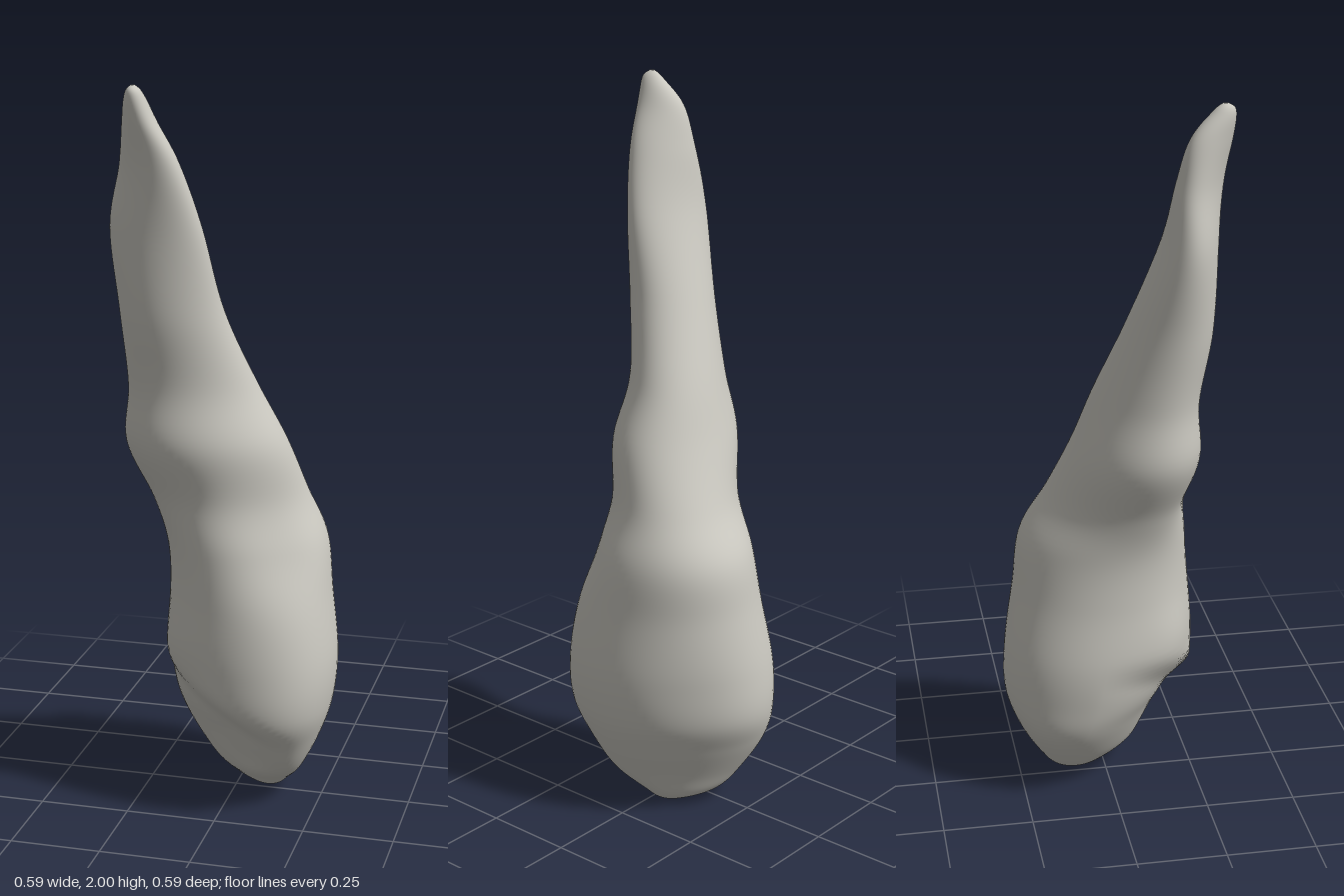
import * as THREE from 'three';

// Cross-sections: y, xMin, xMax, zMin, zMax, skew, front-left lobe
const SECTIONS = [
  [0.000, 0.07, 0.09, -0.05, -0.03, 0.2, 0],
  [0.010, 0.03, 0.125, -0.09, 0.00, 0.3, 0],
  [0.04, -0.04, 0.155, -0.155, 0.04, 0.4, 0],
  [0.10, -0.10, 0.20, -0.20, 0.13, 0.4, 0],
  [0.20, -0.165, 0.25, -0.258, 0.205, 0.3, 0],
  [0.30, -0.19, 0.28, -0.293, 0.25, 0.17, 0.01],
  [0.43, -0.20, 0.29, -0.29, 0.255, 0.12, 0.012],
  [0.60, -0.185, 0.27, -0.262, 0.24, 0.04, 0.012],
  [0.75, -0.185, 0.25, -0.238, 0.225, -0.08, 0.008],
  [0.88, -0.215, 0.20, -0.165, 0.215, -0.2, 0],
  [1.04, -0.278, 0.15, -0.10, 0.238, -0.17, 0],
  [1.20, -0.265, 0.07, -0.045, 0.225, -0.22, 0],
  [1.40, -0.275, 0.00, 0.03, 0.255, -0.1, 0],
  [1.63, -0.295, -0.04, 0.11, 0.265, 0.15, 0],
  [1.80, -0.265, -0.09, 0.145, 0.28, 0.35, 0],
  [1.91, -0.245, -0.145, 0.175, 0.293, 0.35, 0],
  [1.98, -0.222, -0.175, 0.235, 0.295, 0.1, 0],
  [2.00, -0.205, -0.195, 0.26, 0.275, 0, 0],
];

// Soft hollows and swellings: x, y, z, radius, push along x, push along z
const DENTS = [
  [0.17, 0.74, 0.17, 0.12, -0.01, -0.02],
  [-0.12, 0.90, 0.20, 0.11, 0.005, -0.012],
  [-0.17, 0.48, 0.17, 0.12, -0.008, 0.02],
  [-0.28, 1.76, 0.26, 0.11, 0.004, -0.008],
  [0.20, 0.35, -0.22, 0.15, -0.008, 0.008],
  [0.08, 0.14, 0.13, 0.06, 0, -0.012],
];

// Smooth interpolation through the section table
function sectionAt(u) {
  const last = SECTIONS.length - 1;
  const i = Math.min(Math.floor(u), last - 1), f = u - i;
  const row = k => SECTIONS[Math.max(0, Math.min(last, k))];
  const [p, q, r, s] = [row(i - 1), row(i), row(i + 1), row(i + 2)];
  return q.map((b, k) => {
    const m0 = (r[k] - p[k]) / 2, m1 = (s[k] - b) / 2, d = r[k] - b;
    return b + f * (m0 + f * (3 * d - 2 * m0 - m1 + f * (m0 + m1 - 2 * d)));
  });
}

function surfacePoint(u, t) {
  const [y, x0, x1, z0, z1, skew, lobe] = sectionAt(u);
  let x = (x0 + x1) / 2 + (x1 - x0) / 2 * Math.cos(t);
  let z = (z0 + z1) / 2 + (z1 - z0) / 2 * Math.sin(t + Math.asin(skew));
  const w = lobe * Math.max(0, Math.cos(t - Math.PI / 4)) ** 4;
  x += w;
  z += w;
  // slanting fold across the lower front, fading toward the left side
  const line = 0.43 - 0.5 * (x + 0.2);
  const below = THREE.MathUtils.smoothstep(line - y, -0.03, 0.07);
  const fade = THREE.MathUtils.smoothstep(y, 0.02, 0.25);
  const side = 1 - 0.8 * THREE.MathUtils.smoothstep(x, 0, 0.22);
  const fold = 0.05 * below * fade * side * Math.max(0, Math.sin(t));
  z -= fold;
  x += 0.3 * fold;
  for (const [dx, dy, dz, r, px, pz] of DENTS) {
    const g = Math.exp(-((x - dx) ** 2 + (y - dy) ** 2 + (z - dz) ** 2) / (r * r));
    x += px * g;
    z += pz * g;
  }
  return [x, y, z];
}

function loft(rows, cols) {
  const pos = [], index = [];
  for (let i = 0; i <= rows; i++) {
    const u = i / rows * (SECTIONS.length - 1);
    for (let j = 0; j < cols; j++) pos.push(...surfacePoint(u, j / cols * Math.PI * 2));
  }
  for (let i = 0; i < rows; i++) {
    for (let j = 0; j < cols; j++) {
      const a = i * cols + j, b = i * cols + (j + 1) % cols;
      index.push(a, a + cols, b, a + cols, b + cols, b);
    }
  }
  // closing fans at the base and the tip
  const base = pos.length / 3, tip = base + 1, top = rows * cols;
  pos.push(0.08, 0, -0.04, -0.2, 2, 0.267);
  for (let j = 0; j < cols; j++) {
    const n = (j + 1) % cols;
    index.push(base, j, n, tip, top + n, top + j);
  }
  const geo = new THREE.BufferGeometry();
  geo.setAttribute('position', new THREE.Float32BufferAttribute(pos, 3));
  geo.setIndex(index);
  geo.computeVertexNormals();
  return geo;
}

export function createModel() {
  const group = new THREE.Group();
  group.name = 'taperedTooth';
  const material = new THREE.MeshStandardMaterial({ color: 0xcac8c0 });
  material.name = 'warm grey';
  const body = new THREE.Mesh(loft(136, 72), material);
  body.name = 'body';
  group.add(body);
  return group;
}
